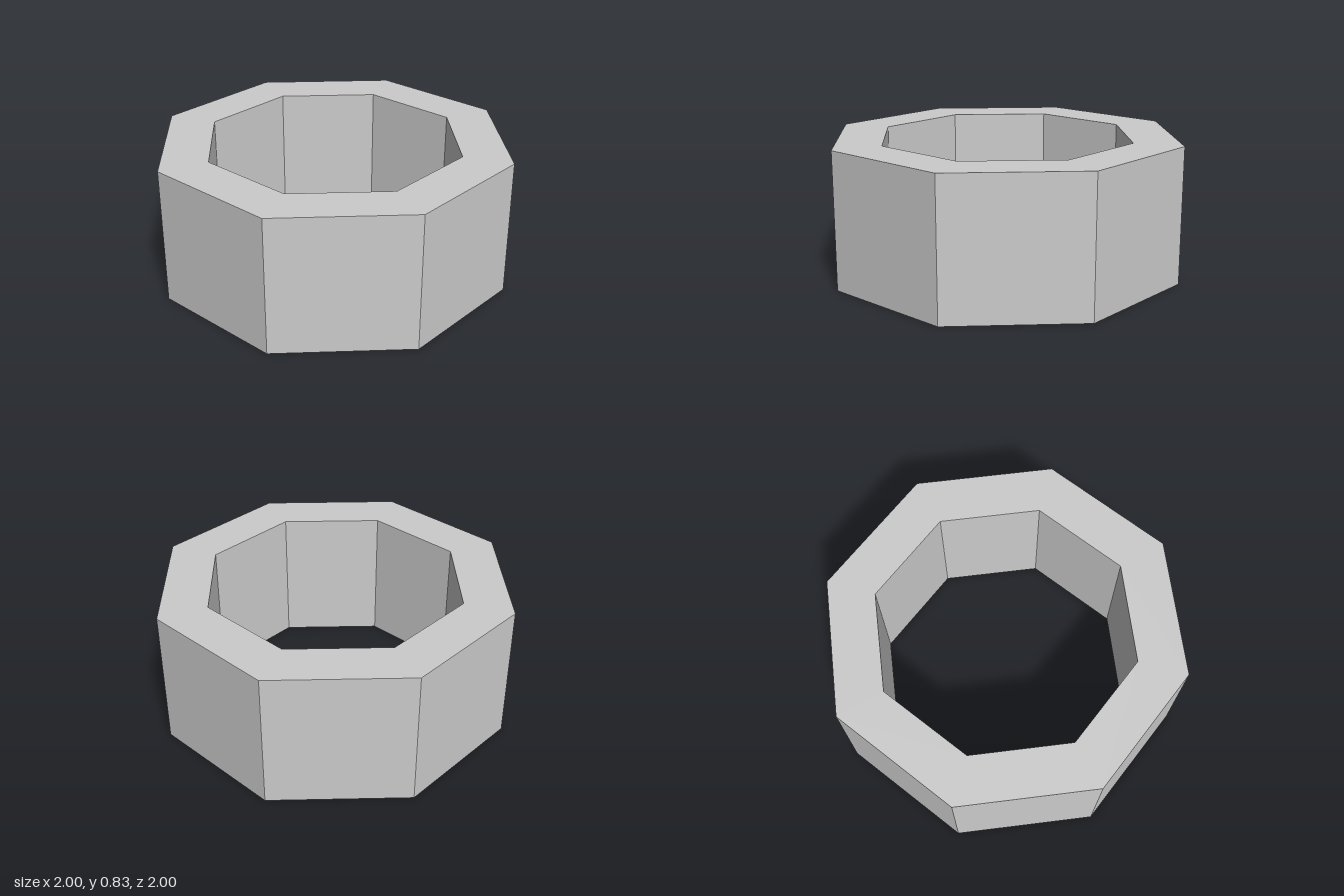
import * as THREE from 'three';

const SIDES = 8;
const HEIGHT = 0.83;
const OUTER = 1; // distance from centre to an outer flat
const INNER = 0.725; // distance from centre to an inner flat

// Corners of a regular polygon whose flats face the axes
function polygon(apothem) {
  const radius = apothem / Math.cos(Math.PI / SIDES);
  return Array.from({ length: SIDES }, (_, i) => {
    const a = ((i + 0.5) / SIDES) * Math.PI * 2;
    return new THREE.Vector2(radius * Math.cos(a), radius * Math.sin(a));
  });
}

export function createModel() {
  const group = new THREE.Group();
  group.name = 'octagonalRing';

  // Octagonal wall with an octagonal opening, extruded upwards
  const shape = new THREE.Shape(polygon(OUTER));
  shape.holes.push(new THREE.Path(polygon(INNER)));
  const geometry = new THREE.ExtrudeGeometry(shape, { depth: HEIGHT, bevelEnabled: false });
  geometry.rotateX(-Math.PI / 2);

  const material = new THREE.MeshStandardMaterial({ color: 0xcccccc, flatShading: true });
  const ring = new THREE.Mesh(geometry, material);
  ring.name = 'ringWall';
  group.add(ring);
  return group;
}
